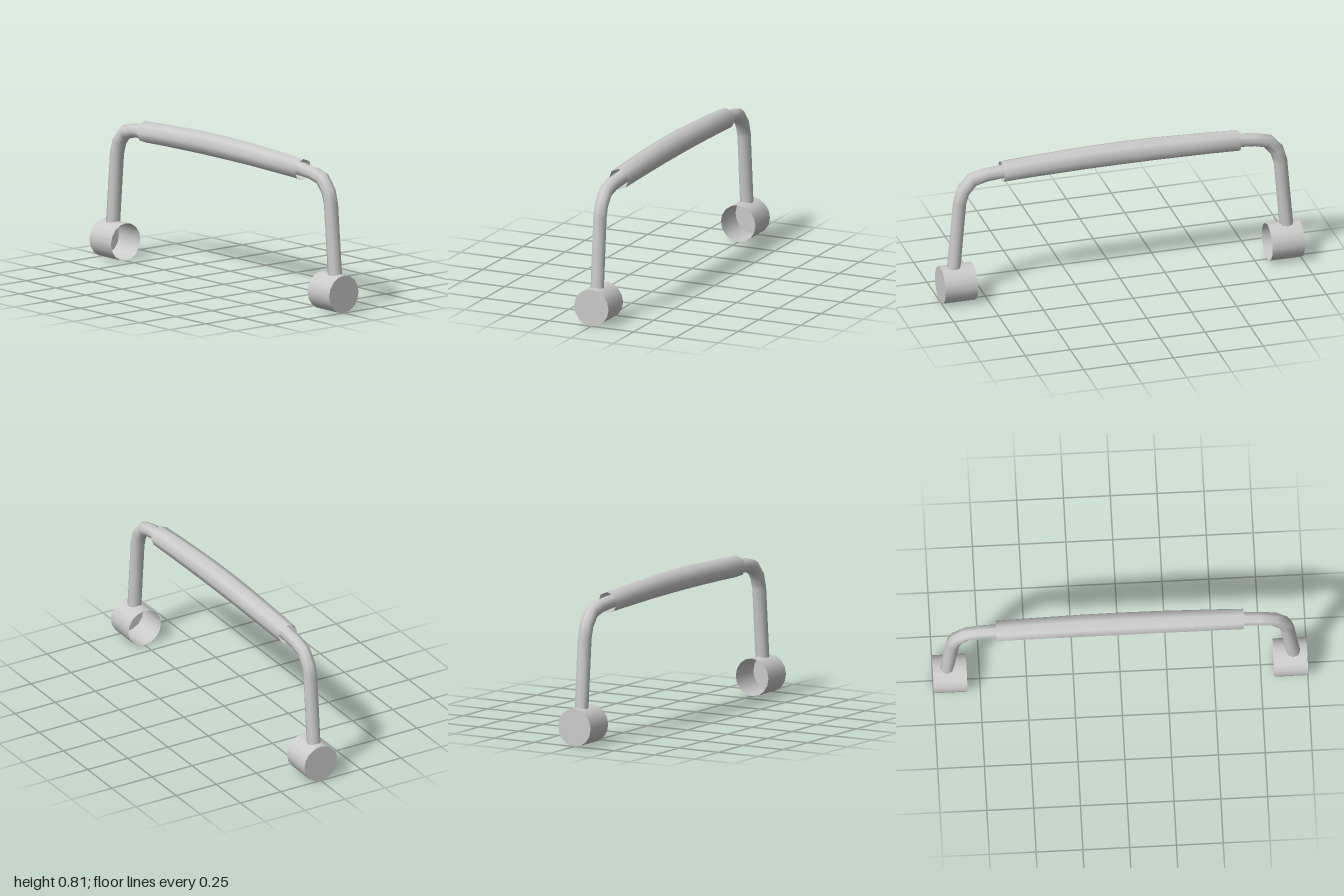
import * as THREE from 'three';

const material = new THREE.MeshStandardMaterial({ color: 0xcccccc, side: THREE.DoubleSide });

// Open tube swept along points [x, y, radius] in the z = 0 plane, with mitred joints.
function sweep(points, sides) {
  const positions = [], index = [];
  const pts = points.map(([x, y]) => new THREE.Vector2(x, y));
  points.forEach(([x, y, r], i) => {
    const a = pts[i].clone().sub(pts[Math.max(i - 1, 0)]).normalize();
    const b = pts[Math.min(i + 1, pts.length - 1)].clone().sub(pts[i]).normalize();
    const t = a.clone().add(b).normalize();
    const miter = r / t.dot(b.lengthSq() ? b : a);
    for (let j = 0; j < sides; j++) {
      const angle = (j / sides) * Math.PI * 2;
      const c = Math.cos(angle) * miter;
      positions.push(x - t.y * c, y + t.x * c, Math.sin(angle) * r);
      if (i === 0) continue;
      const k = (j + 1) % sides, p = (i - 1) * sides, q = i * sides;
      index.push(p + j, p + k, q + j, p + k, q + k, q + j);
    }
  });
  const geometry = new THREE.BufferGeometry();
  geometry.setAttribute('position', new THREE.Float32BufferAttribute(positions, 3));
  geometry.setIndex(index);
  geometry.computeVertexNormals();
  return geometry;
}

// Completes a left-to-right path from its left half.
function mirrored(half, middle) {
  return [...half, middle, ...half.map(([x, y, r]) => [-x, y, r]).reverse()];
}

function addMesh(parent, name, geometry) {
  const mesh = new THREE.Mesh(geometry, material);
  mesh.name = name;
  parent.add(mesh);
  return mesh;
}

export function createModel() {
  const model = new THREE.Group();
  model.name = 'carryHandle';

  // Bent rod running from one end cup to the other
  const R = 0.038;
  const rod = [
    [-0.927, 0.18, R], [-0.893, 0.575, R], [-0.873, 0.642, R],
    [-0.822, 0.702, R], [-0.747, 0.721, R], [-0.66, 0.728, R], [-0.21, 0.745, R],
  ];
  addMesh(model, 'rod', sweep(mirrored(rod, [0, 0.747, R]), 8));

  // Gently bowed grip sleeve, open at both ends
  const grip = [[-0.66, 0.728, 0.058], [-0.51, 0.735, 0.06], [-0.21, 0.744, 0.063]];
  addMesh(model, 'grip', sweep(mirrored(grip, [0, 0.746, 0.064]), 8));

  // End cups: closed outside, open toward the middle
  const cupRadius = 0.102, cupLength = 0.18;
  for (const side of [-1, 1]) {
    const cup = new THREE.Group();
    cup.name = side > 0 ? 'leftCup' : 'rightCup';
    const wall = new THREE.CylinderGeometry(cupRadius, cupRadius, cupLength, 16, 1, true);
    addMesh(cup, 'cupWall', wall.rotateZ(Math.PI / 2));
    const cap = new THREE.CircleGeometry(cupRadius, 16).rotateY(side * Math.PI / 2);
    addMesh(cup, 'cupCap', cap).position.x = side * cupLength / 2;
    cup.position.set(side * (1 - cupLength / 2), cupRadius, 0);
    model.add(cup);
  }
  return model;
}
